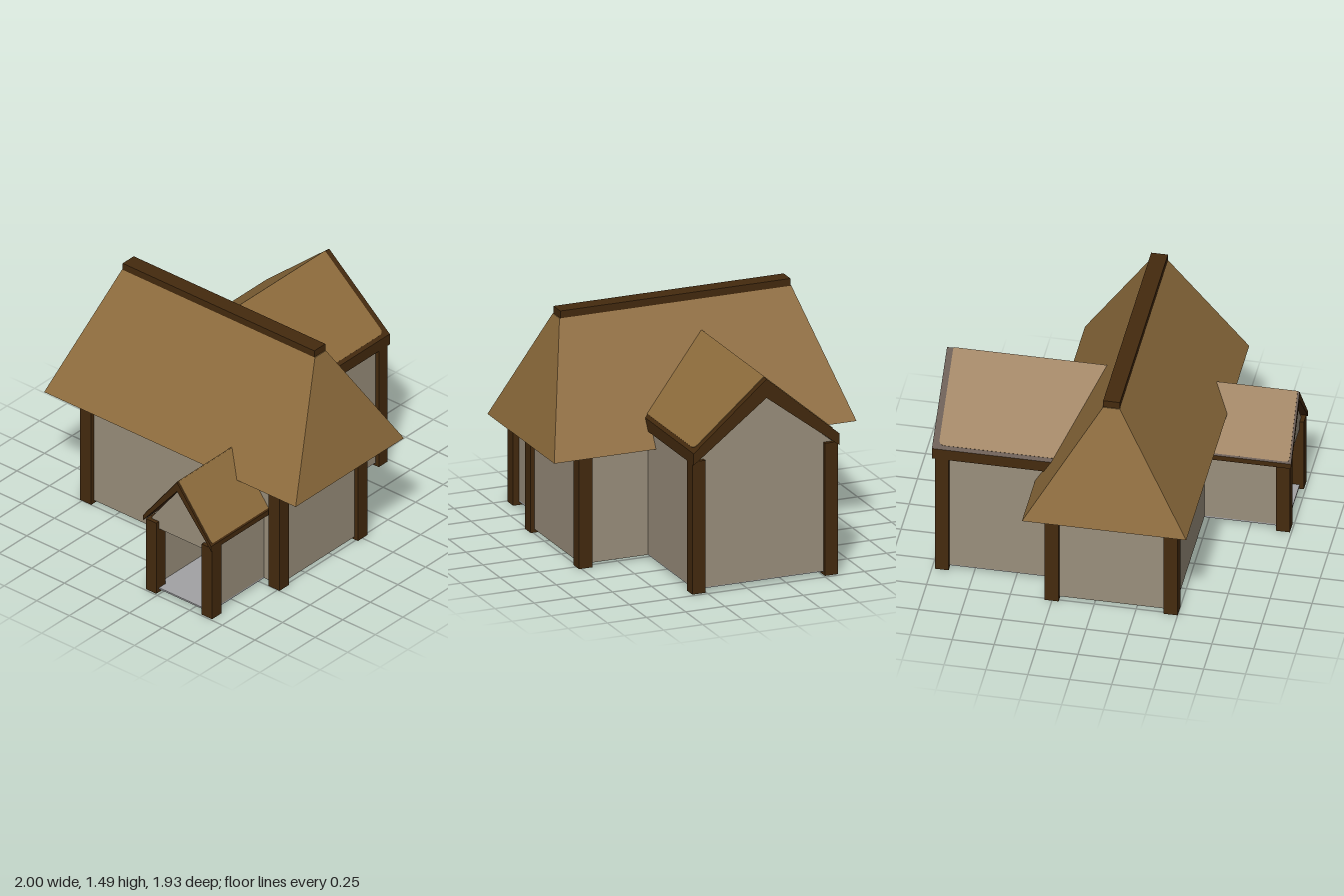
import * as THREE from 'three';

const flat = (name, color) => {
  const m = new THREE.MeshStandardMaterial({ color });
  m.name = name;
  return m;
};

export function createModel() {
  const thatch = flat('thatch', 0x8e6c3c);
  const wood = flat('dark timber', 0x442a0e);
  const plaster = flat('plaster', 0x9a8f7c);
  const stone = flat('stone grey', 0xa2a2a4);
  const house = new THREE.Group();
  house.name = 'house';

  const add = (name, geometry, material, parent = house) => {
    const mesh = new THREE.Mesh(geometry, material);
    mesh.name = name;
    parent.add(mesh);
    return mesh;
  };

  // Box given by its limits, with a grey underside
  const block = (name, material, [x0, x1], [y0, y1], [z0, z1], parent) => {
    const g = new THREE.BoxGeometry(x1 - x0, y1 - y0, z1 - z0);
    g.translate((x0 + x1) / 2, (y0 + y1) / 2, (z0 + z1) / 2);
    const mats = [material, material, material, stone, material, material];
    return add(name, g, mats, parent);
  };

  // Profile of [z, y] points swept along x
  const sweep = (points, x0, x1) => {
    const shape = new THREE.Shape(points.map(([z, y]) => new THREE.Vector2(-z, y)));
    const g = new THREE.ExtrudeGeometry(shape, { depth: x1 - x0, bevelEnabled: false });
    return g.rotateY(Math.PI / 2).translate(x0, 0, 0);
  };

  // Main hall
  block('hallWalls', plaster, [-0.475, 0.27], [0.02, 0.71], [-0.74, 0.74]);
  for (const x of [-0.5, 0.21])
    for (const z of [-0.765, 0.68])
      block('hallPost', wood, [x, x + 0.085], [0, 0.71], [z, z + 0.085]);

  // Hipped main roof: a box narrowed towards the ridge
  const roof = new THREE.BoxGeometry(0.98, 0.73, 1.93);
  const p = roof.attributes.position;
  for (let i = 0; i < p.count; i++)
    if (p.getY(i) > 0) p.setXYZ(i, p.getX(i) * 0.1 / 0.98, p.getY(i), p.getZ(i) * 0.74 / 0.965);
  roof.computeVertexNormals();
  roof.translate(-0.1, 1.075, 0);
  add('mainRoof', roof, [thatch, thatch, thatch, stone, thatch, thatch]);
  block('ridgeBeam', wood, [-0.15, -0.05], [1.435, 1.485], [-0.735, 0.735]);

  // Gabled roof: timber slab with thatch plates lying on both slopes
  const gableRoof = (parent, o) => {
    const { inner, outer, z, half, apex, eave, underApex, underEave } = o;
    const x0 = Math.min(inner, outer), x1 = Math.max(inner, outer);
    add('roofFrame', sweep([
      [z - half, underEave], [z - half, eave], [z, apex],
      [z + half, eave], [z + half, underEave], [z, underApex],
    ], x0, x1), wood, parent);

    const rise = apex - eave;
    const length = Math.hypot(rise, half) - o.eaveTrim;
    const end = outer - Math.sign(outer) * o.endTrim;
    const cut = end - Math.sign(outer) * o.corner;
    for (const s of [-1, 1]) {
      const shape = new THREE.Shape();
      shape.moveTo(inner, 0);
      shape.lineTo(end, 0);
      shape.lineTo(end, -s * (length - o.corner));
      shape.quadraticCurveTo(end, -s * length, cut, -s * length);
      shape.lineTo(inner, -s * length);
      const g = new THREE.ExtrudeGeometry(shape, { depth: 0.004, bevelEnabled: false, curveSegments: 4 });
      const along = new THREE.Vector3(1, 0, 0);
      const normal = new THREE.Vector3(0, half, s * rise).normalize();
      const up = normal.clone().cross(along);
      g.applyMatrix4(new THREE.Matrix4().makeBasis(along, up, normal));
      g.translate(0, apex, z);
      add('thatchSlope', g, thatch, parent);
    }
  };

  // Large gabled wing
  const wing = new THREE.Group();
  wing.name = 'sideWing';
  house.add(wing);
  gableRoof(wing, {
    inner: 0, outer: 1, z: -0.125, half: 0.465, apex: 1.277, eave: 0.877,
    underApex: 1.16, underEave: 0.805, endTrim: 0.038, eaveTrim: 0.025, corner: 0.035,
  });
  add('wingWalls', sweep([
    [-0.565, 0.025], [-0.565, 0.82], [-0.125, 1.17], [0.315, 0.82], [0.315, 0.025],
  ], 0.2, 0.955), plaster, wing);
  block('wingFloor', stone, [0.2, 0.955], [0.02, 0.025], [-0.565, 0.315], wing);
  for (const z of [-0.59, 0.257])
    block('wingPost', wood, [0.9, 0.98], [0, 0.82], [z, z + 0.083], wing);

  // Small porch with an open end
  const porch = new THREE.Group();
  porch.name = 'porch';
  house.add(porch);
  gableRoof(porch, {
    inner: -0.46, outer: -1, z: 0.402, half: 0.262, apex: 0.848, eave: 0.51,
    underApex: 0.785, underEave: 0.477, endTrim: 0.012, eaveTrim: 0.012, corner: 0.02,
  });
  block('porchFloor', stone, [-0.965, -0.47], [0.02, 0.03], [0.18, 0.625], porch);
  for (const z of [0.18, 0.605])
    block('porchWall', plaster, [-0.965, -0.47], [0.025, 0.49], [z, z + 0.02], porch);
  add('porchGable', sweep([
    [0.18, 0.44], [0.18, 0.5], [0.402, 0.79], [0.624, 0.5], [0.624, 0.44],
  ], -0.965, -0.945), plaster, porch);
  for (const z of [0.155, 0.583])
    block('porchPost', wood, [-0.99, -0.907], [0, 0.49], [z, z + 0.08], porch);

  return house;
}
